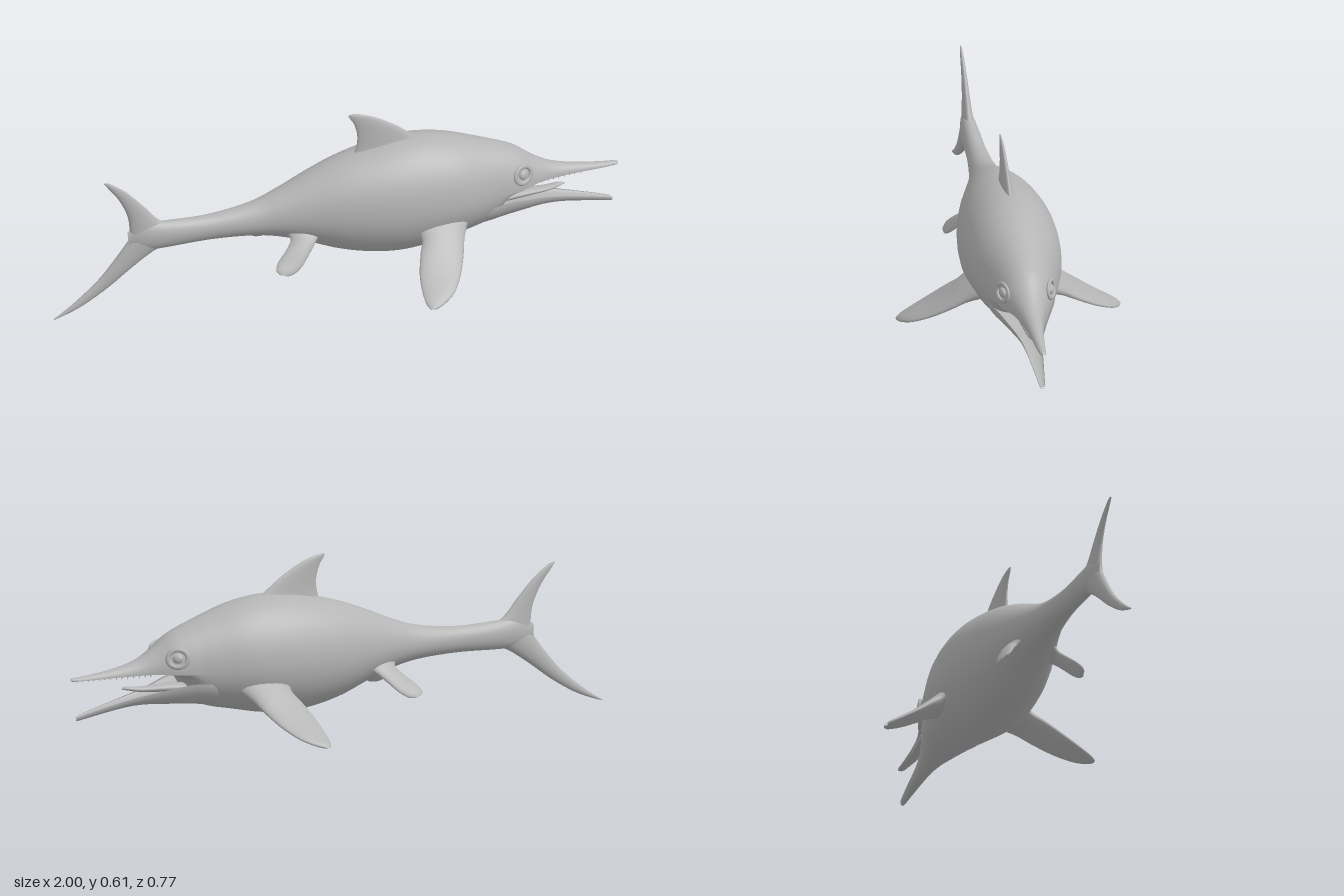
import * as THREE from 'three';

const skin = new THREE.MeshStandardMaterial({ color: 0xb4b4b4 });
skin.name = 'greySkin';

// Smoothly resample a short table of stations (uniform Catmull-Rom per column)
function resample(rows, steps) {
  const out = [], n = rows.length;
  for (let i = 0; i < n - 1; i++) {
    const [a, b, c, d] = [rows[Math.max(i - 1, 0)], rows[i], rows[i + 1], rows[Math.min(i + 2, n - 1)]];
    for (let s = 0; s < steps + (i === n - 2 ? 1 : 0); s++) {
      const t = s / steps;
      out.push(b.map((p, k) => 0.5 * (2 * p + (c[k] - a[k]) * t
        + (2 * a[k] - 5 * p + 4 * c[k] - d[k]) * t * t
        + (3 * p - a[k] - 3 * c[k] + d[k]) * t * t * t)));
    }
  }
  return out;
}

// Closed skin over a list of rings, turned outward by its signed volume
function loft(name, rings) {
  const m = rings[0].length, pts = rings.flat(), idx = [];
  for (let i = 0; i < rings.length - 1; i++) {
    for (let j = 0; j < m; j++) {
      const a = i * m + j, b = i * m + (j + 1) % m;
      idx.push(a, a + m, b, b, a + m, b + m);
    }
  }
  [0, rings.length - 1].forEach((r, end) => {
    const centre = rings[r].reduce((s, p) => s.add(p), new THREE.Vector3()).divideScalar(m);
    const c = pts.push(centre) - 1;
    for (let j = 0; j < m; j++) {
      const a = r * m + j, b = r * m + (j + 1) % m;
      idx.push(c, ...(end ? [a, b] : [b, a]));
    }
  });
  let volume = 0;
  const cross = new THREE.Vector3();
  for (let i = 0; i < idx.length; i += 3) {
    volume += pts[idx[i]].dot(cross.crossVectors(pts[idx[i + 1]], pts[idx[i + 2]]));
  }
  if (volume < 0) idx.reverse();
  const geo = new THREE.BufferGeometry().setFromPoints(pts);
  geo.setIndex(idx);
  geo.computeVertexNormals();
  const mesh = new THREE.Mesh(geo, skin);
  mesh.name = name;
  return mesh;
}

// Lengthwise body: rows are [x, top, bottom, half width, height of widest line]
function hull(name, rows, sides = 40) {
  return loft(name, resample(rows, 6).map(([x, top, bottom, w, mid]) =>
    Array.from({ length: sides }, (_, j) => {
      const a = j / sides * Math.PI * 2, s = Math.sin(a);
      return new THREE.Vector3(x, mid + (s > 0 ? top - mid : mid - bottom) * s, w * Math.cos(a));
    })));
}

// Fin: rows are [leading x,y,z, trailing x,y,z, half thickness], root to tip
function fin(name, rows, side = 1) {
  const list = resample(rows, 6), sides = 20;
  const ends = list.map(r => [new THREE.Vector3(r[0], r[1], r[2] * side), new THREE.Vector3(r[3], r[4], r[5] * side)]);
  const mids = ends.map(([l, t]) => l.clone().add(t).multiplyScalar(0.5));
  return loft(name, list.map((r, i) => {
    const half = ends[i][0].clone().sub(mids[i]);
    const span = mids[Math.min(i + 1, mids.length - 1)].clone().sub(mids[Math.max(i - 1, 0)]);
    const normal = half.clone().cross(span).normalize();
    return Array.from({ length: sides }, (_, j) => {
      const a = j / sides * Math.PI * 2;
      return mids[i].clone().addScaledVector(half, Math.cos(a)).addScaledVector(normal, r[6] * Math.sin(a));
    });
  }));
}

export function createModel() {
  const model = new THREE.Group();
  model.name = 'marineReptile';

  // Trunk, head and upper jaw in one smooth skin
  model.add(hull('bodyAndUpperJaw', [
    [-0.74, 0.29, 0.235, 0.008, 0.26],
    [-0.68, 0.318, 0.215, 0.024, 0.265],
    [-0.6, 0.312, 0.214, 0.031, 0.265],
    [-0.45, 0.308, 0.218, 0.036, 0.265],
    [-0.3, 0.328, 0.21, 0.052, 0.265],
    [-0.2, 0.362, 0.19, 0.076, 0.27],
    [-0.1, 0.405, 0.155, 0.106, 0.27],
    [0, 0.442, 0.116, 0.135, 0.27],
    [0.1, 0.467, 0.091, 0.156, 0.27],
    [0.2, 0.484, 0.08, 0.167, 0.27],
    [0.3, 0.487, 0.088, 0.167, 0.27],
    [0.4, 0.47, 0.108, 0.155, 0.27],
    [0.5, 0.438, 0.13, 0.128, 0.265],
    [0.55, 0.42, 0.16, 0.113, 0.265],
    [0.59, 0.405, 0.23, 0.103, 0.26],
    [0.64, 0.382, 0.25, 0.087, 0.26],
    [0.7, 0.338, 0.266, 0.06, 0.262],
    [0.76, 0.306, 0.264, 0.04, 0.26],
    [0.84, 0.285, 0.262, 0.026, 0.258],
    [0.93, 0.272, 0.258, 0.017, 0.256],
    [0.99, 0.267, 0.255, 0.011, 0.257],
    [1, 0.263, 0.257, 0.005, 0.26],
  ]));

  // Lower jaw with a hollow upper face
  model.add(hull('lowerJaw', [
    [0.44, 0.2, 0.125, 0.11, 0.21],
    [0.52, 0.2, 0.136, 0.114, 0.222],
    [0.59, 0.193, 0.143, 0.094, 0.222],
    [0.66, 0.18, 0.148, 0.067, 0.207],
    [0.73, 0.172, 0.152, 0.043, 0.192],
    [0.8, 0.164, 0.148, 0.029, 0.177],
    [0.9, 0.145, 0.132, 0.018, 0.153],
    [0.97, 0.13, 0.119, 0.01, 0.134],
    [0.98, 0.126, 0.121, 0.005, 0.126],
  ], 32));

  model.add(hull('tongue', [
    [0.54, 0.212, 0.18, 0.03, 0.195],
    [0.64, 0.216, 0.188, 0.026, 0.202],
    [0.74, 0.214, 0.196, 0.018, 0.205],
    [0.79, 0.219, 0.206, 0.011, 0.212],
    [0.81, 0.215, 0.211, 0.003, 0.213],
  ], 16));

  // Back fin and the two tail lobes
  model.add(fin('dorsalFin', [
    [0.32, 0.455, 0, 0.04, 0.425, 0, 0.024],
    [0.27, 0.495, 0, 0.068, 0.465, 0, 0.017],
    [0.205, 0.543, 0, 0.076, 0.515, 0, 0.012],
    [0.135, 0.583, 0, 0.066, 0.563, 0, 0.008],
    [0.085, 0.601, 0, 0.05, 0.59, 0, 0.005],
    [0.05, 0.607, 0, 0.044, 0.602, 0, 0.002],
  ]));
  model.add(fin('upperTailLobe', [
    [-0.58, 0.29, 0, -0.735, 0.24, 0, 0.022],
    [-0.635, 0.328, 0, -0.732, 0.295, 0, 0.017],
    [-0.685, 0.385, 0, -0.74, 0.355, 0, 0.012],
    [-0.745, 0.447, 0, -0.77, 0.42, 0, 0.008],
    [-0.8, 0.487, 0, -0.81, 0.474, 0, 0.005],
    [-0.821, 0.495, 0, -0.823, 0.491, 0, 0.002],
  ]));
  model.add(fin('lowerTailLobe', [
    [-0.58, 0.235, 0, -0.72, 0.28, 0, 0.022],
    [-0.65, 0.205, 0, -0.742, 0.25, 0, 0.02],
    [-0.725, 0.155, 0, -0.785, 0.193, 0, 0.017],
    [-0.81, 0.092, 0, -0.845, 0.123, 0, 0.013],
    [-0.9, 0.038, 0, -0.92, 0.059, 0, 0.009],
    [-0.97, 0.01, 0, -0.975, 0.02, 0, 0.005],
    [-1, 0.001, 0, -1, 0.005, 0, 0.002],
  ]));

  for (const [label, side] of [['left', 1], ['right', -1]]) {
    // Broad front flipper, swept back and down
    model.add(fin(label + 'FrontFlipper', [
      [0.43, 0.195, 0.12, 0.235, 0.21, 0.12, 0.035],
      [0.4, 0.165, 0.17, 0.25, 0.18, 0.165, 0.025],
      [0.378, 0.127, 0.225, 0.23, 0.145, 0.21, 0.018],
      [0.348, 0.088, 0.285, 0.209, 0.1, 0.265, 0.014],
      [0.308, 0.055, 0.34, 0.201, 0.062, 0.32, 0.011],
      [0.26, 0.033, 0.371, 0.202, 0.037, 0.36, 0.008],
      [0.225, 0.024, 0.382, 0.212, 0.025, 0.379, 0.003],
    ], side));

    // Small hind flipper
    model.add(fin(label + 'HindFlipper', [
      [-0.08, 0.215, 0.075, -0.2, 0.225, 0.05, 0.02],
      [-0.105, 0.195, 0.1, -0.185, 0.207, 0.075, 0.014],
      [-0.135, 0.165, 0.122, -0.21, 0.18, 0.098, 0.011],
      [-0.165, 0.135, 0.14, -0.242, 0.152, 0.116, 0.009],
      [-0.197, 0.115, 0.15, -0.256, 0.13, 0.134, 0.007],
      [-0.225, 0.111, 0.153, -0.246, 0.117, 0.147, 0.003],
    ], side));

    // Eye set in a raised socket ring
    const eye = new THREE.Group();
    eye.name = label + 'Eye';
    const ball = new THREE.Mesh(new THREE.SphereGeometry(0.018, 20, 14), skin);
    ball.name = 'eyeball';
    ball.scale.set(1, 0.9, 0.5);
    const ring = new THREE.Mesh(new THREE.TorusGeometry(0.031, 0.008, 10, 28), skin);
    ring.name = 'eyeSocket';
    ring.scale.set(1.1, 0.95, 0.7);
    eye.add(ball, ring);
    eye.position.set(0.638, 0.315, side * 0.083);
    eye.lookAt(0.638 + 0.4, 0.315 + 0.15, side * (0.083 + 0.9));
    model.add(eye);

    // Rows of tiny teeth along the upper jaw
    const teeth = new THREE.Group();
    teeth.name = label + 'UpperTeeth';
    for (let i = 0; i < 14; i++) {
      const x = 0.72 + i * 0.02;
      const tooth = new THREE.Mesh(new THREE.ConeGeometry(0.003, 0.012, 6), skin);
      tooth.name = 'tooth';
      tooth.rotation.x = Math.PI;
      tooth.position.set(x, 0.256, side * (0.009 + 0.034 * Math.pow((1 - x) / 0.28, 1.6)));
      teeth.add(tooth);
    }
    model.add(teeth);
  }
  return model;
}
